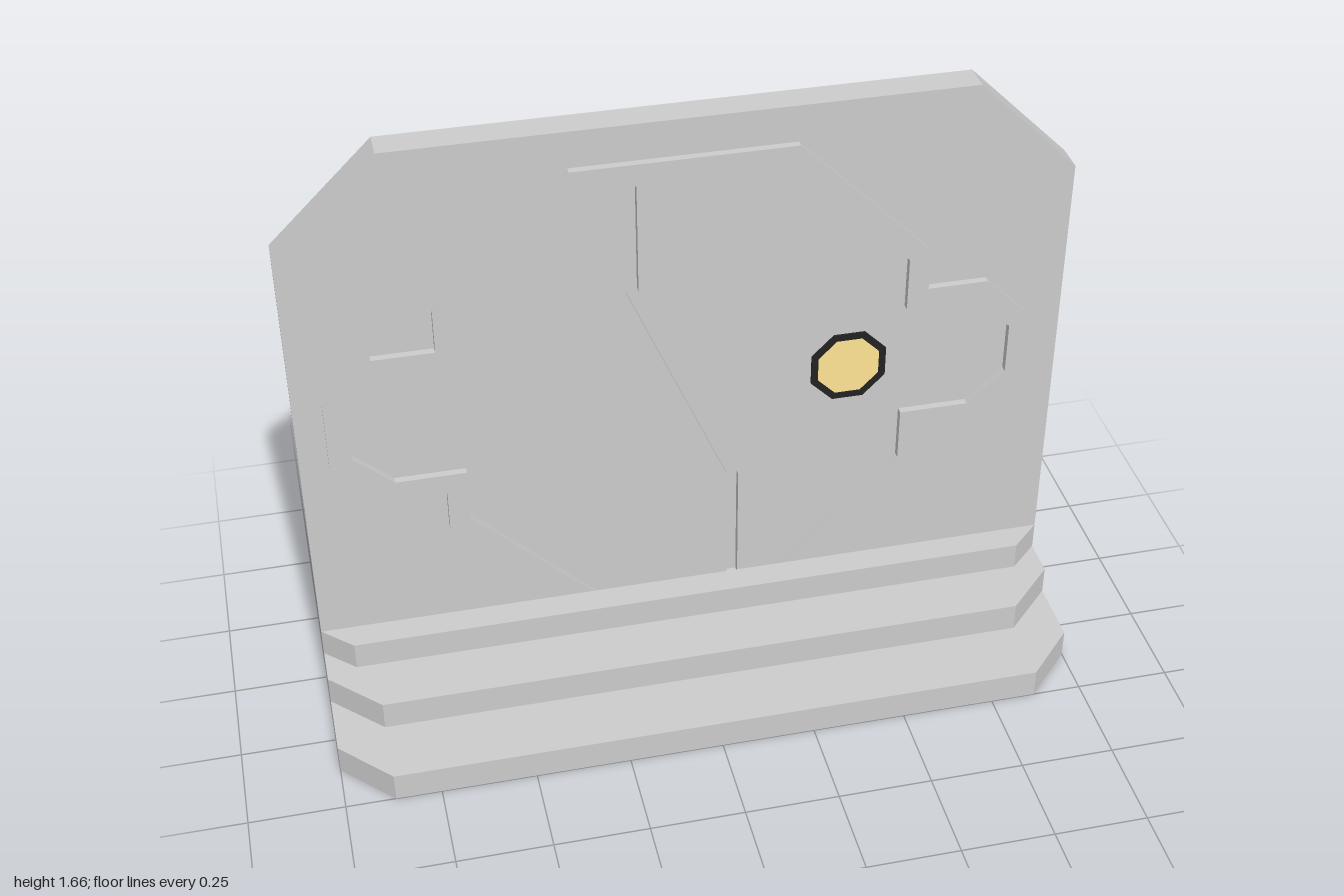
import * as THREE from 'three';

const grey = new THREE.MeshStandardMaterial({ color: 0xcccccc, flatShading: true });
const dark = new THREE.MeshStandardMaterial({ color: 0x222222, flatShading: true });
const tan = new THREE.MeshStandardMaterial({ color: 0xffe494, flatShading: true });

const toPoints = (list) => list.map(([x, y]) => new THREE.Vector2(x, y));

// Closed outline from its left half, listed bottom to top
const mirrored = (half) => [...half, ...half.map(([x, y]) => [-x, y]).reverse()];

// Upright plate between two depths, with optional holes
function plate(name, outline, z0, z1, material = grey, holes = []) {
  const shape = new THREE.Shape(toPoints(outline));
  for (const hole of holes) shape.holes.push(new THREE.Path(toPoints(hole)));
  const geometry = new THREE.ExtrudeGeometry(shape, { depth: z1 - z0, bevelEnabled: false });
  geometry.translate(0, 0, z0);
  const mesh = new THREE.Mesh(geometry, material);
  mesh.name = name;
  return mesh;
}

// Step with both front corners cut off
function step(name, y0, y1, front, frontX, sideZ) {
  const back = -0.17;
  const half = sideZ > back
    ? [[-1, -back], [-1, -sideZ], [-frontX, -front]]
    : [[-1, -back], [-frontX, -front]];
  const mesh = plate(name, mirrored(half), y0, y1);
  mesh.geometry.rotateX(-Math.PI / 2);
  return mesh;
}

function octagon(apothem, cx, cy) {
  const r = apothem / Math.cos(Math.PI / 8);
  return Array.from({ length: 8 }, (_, i) => {
    const a = (i + 0.5) * Math.PI / 4;
    return [cx + r * Math.cos(a), cy + r * Math.sin(a)];
  });
}

export function createModel() {
  const model = new THREE.Group();
  model.name = 'steppedDoorway';

  const BACK = -0.25, FLOOR = -0.21, FIELD = -0.19, FRONT = -0.17;

  // Wall slab with a raised border round its edge
  const wall = mirrored([[-1, 0], [-1, 1.4], [-0.735, 1.66]]);
  const opening = mirrored([[-0.945, 0.2], [-0.945, 1.37], [-0.71, 1.605]]);
  model.add(plate('wallSlab', wall, BACK, FLOOR));
  model.add(plate('wallBorder', wall, FLOOR, FRONT, grey, [opening]));

  // Recessed field, split by the crooked seam of the door
  const seam = [
    [-0.15, 1.49], [-0.15, 1.175], [0.113, 0.555], [0.113, 0.21],
    [0.143, 0.21], [0.143, 0.555], [-0.118, 1.175], [-0.118, 1.49],
  ];
  model.add(plate('doorField', opening, FLOOR, FIELD, grey, [seam]));

  // Raised angular door frame, open at the bottom
  const outer = mirrored([
    [-0.305, 0.2], [-0.635, 0.525], [-0.635, 0.64], [-0.79, 0.64], [-0.925, 0.77],
    [-0.925, 0.955], [-0.795, 1.085], [-0.635, 1.085], [-0.635, 1.2], [-0.285, 1.55],
  ]);
  const inner = mirrored([
    [-0.23, 0.2], [-0.58, 0.55], [-0.58, 0.7], [-0.765, 0.7], [-0.865, 0.79],
    [-0.865, 0.935], [-0.765, 1.03], [-0.58, 1.03], [-0.58, 1.18], [-0.265, 1.49],
  ]);
  model.add(plate('doorFrame', [...outer, ...inner.reverse()], FIELD, FRONT));

  // Octagonal door plate with a dark rim
  const rim = octagon(0.1, 0.435, 0.865);
  const face = octagon(0.082, 0.435, 0.865);
  model.add(plate('badgeRim', rim, FIELD, FIELD + 0.006, dark, [face]));
  model.add(plate('badgeFace', face, FIELD, FIELD + 0.004, tan));

  // Three steps, lowest first
  model.add(step('lowerStep', 0, 0.08, 0.25, 0.87, 0.115));
  model.add(step('middleStep', 0.08, 0.16, 0.065, 0.87, -0.065));
  model.add(step('upperStep', 0.16, 0.237, -0.095, 0.92, -0.17));

  return model;
}
